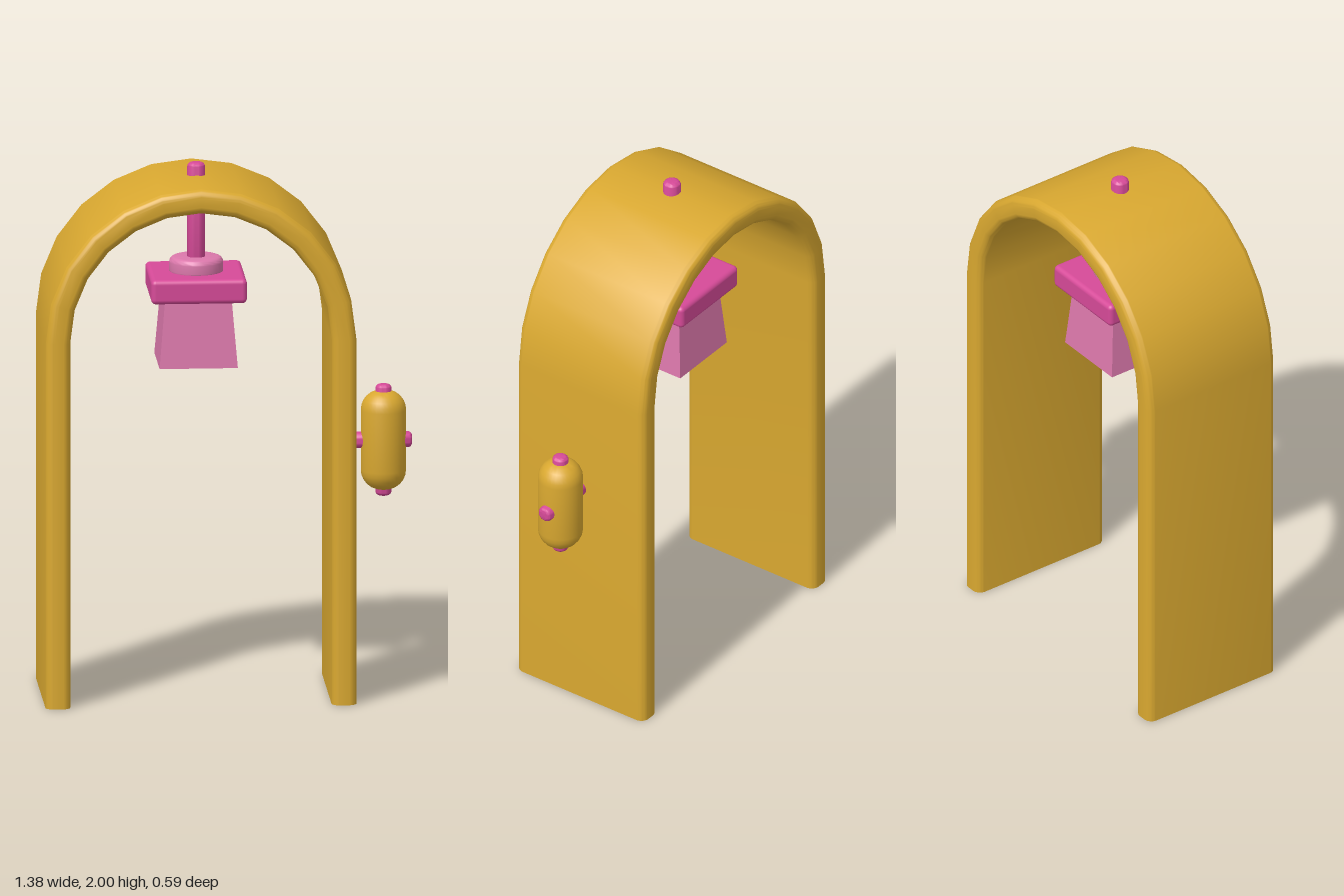
import * as THREE from 'three';
import { toCreasedNormals } from 'three/addons/utils/BufferGeometryUtils.js';
import { RoundedBoxGeometry } from 'three/addons/geometries/RoundedBoxGeometry.js';

const gold = new THREE.MeshStandardMaterial({ color: 0xd9a830 });
const pink = new THREE.MeshStandardMaterial({ color: 0xd64a98 });
const palePink = new THREE.MeshStandardMaterial({ color: 0xdb78ab });

const ARCH_X = -0.115;

function part(name, geometry, material, x, y, z = 0) {
  const mesh = new THREE.Mesh(geometry, material);
  mesh.name = name;
  mesh.position.set(x, y, z);
  return mesh;
}

// Upright cylinder, centred, with rounded rims
function roundedCylinder(radius, height, bevel, sides = 32) {
  const points = [new THREE.Vector2(0, -height / 2)];
  for (const end of [-1, 1]) {
    for (let i = 0; i <= 6; i++) {
      const a = (end < 0 ? i / 6 - 1 : i / 6) * Math.PI / 2;
      points.push(new THREE.Vector2(
        radius - bevel + bevel * Math.cos(a),
        end * (height / 2 - bevel) + bevel * Math.sin(a)));
    }
  }
  points.push(new THREE.Vector2(0, height / 2));
  return toCreasedNormals(new THREE.LatheGeometry(points, sides), 0.7);
}

// Rounded strip bent up one leg, over a half circle and down the other leg
function archGeometry(radius, springY, thickness, depth, bevel) {
  const w = thickness / 2, d = depth / 2;
  const section = new THREE.Shape();
  section.absarc(w - bevel, d - bevel, bevel, 0, Math.PI / 2);
  section.absarc(bevel - w, d - bevel, bevel, Math.PI / 2, Math.PI);
  section.absarc(bevel - w, bevel - d, bevel, Math.PI, Math.PI * 1.5);
  section.absarc(w - bevel, bevel - d, bevel, Math.PI * 1.5, Math.PI * 2);

  const bends = 12, steps = bends + 2;
  const geometry = new THREE.ExtrudeGeometry(section,
    { depth: steps, steps, curveSegments: 5, bevelEnabled: false });
  const pos = geometry.attributes.position;
  for (let i = 0; i < pos.count; i++) {
    const step = Math.round(pos.getZ(i));
    const bend = THREE.MathUtils.clamp(step - 1, 0, bends);
    const a = Math.PI * (1 - bend / bends);
    const r = radius + pos.getX(i);
    const atFoot = step === 0 || step === steps;
    pos.setXYZ(i, r * Math.cos(a), atFoot ? 0 : springY + r * Math.sin(a), pos.getY(i));
  }
  return toCreasedNormals(geometry, 0.6);
}

// Square block, wider at the bottom
function taperedBlock(top, bottom, height) {
  const geometry = new THREE.BoxGeometry(1, height, 1);
  const pos = geometry.attributes.position;
  for (let i = 0; i < pos.count; i++) {
    const s = pos.getY(i) > 0 ? top : bottom;
    pos.setX(i, pos.getX(i) * s);
    pos.setZ(i, pos.getZ(i) * s);
  }
  geometry.computeVertexNormals();
  return geometry;
}

export function createModel() {
  const model = new THREE.Group();
  model.name = 'archWithHangingBlock';

  model.add(part('arch', archGeometry(0.53, 1.38, 0.092, 0.586, 0.032), gold, ARCH_X, 0));

  // Pendant under the crown of the arch
  const pendant = new THREE.Group();
  pendant.name = 'pendant';
  pendant.add(
    part('rod', roundedCylinder(0.033, 0.42, 0.016, 24), pink, 0, 1.79),
    part('collar', roundedCylinder(0.1, 0.07, 0.02), palePink, 0, 1.61),
    part('plate', new RoundedBoxGeometry(0.355, 0.092, 0.355, 4, 0.018), pink, 0, 1.545),
    part('block', taperedBlock(0.246, 0.29, 0.26), palePink, 0, 1.38));
  pendant.position.x = ARCH_X;
  model.add(pendant);

  // Handle pinned to the outside of the left leg
  const handle = new THREE.Group();
  handle.name = 'handle';
  const crossPin = part('crossPin', roundedCylinder(0.03, 0.255, 0.016, 24), pink, -0.022, 0);
  crossPin.rotation.z = Math.PI / 2;
  handle.add(
    part('grip', roundedCylinder(0.084, 0.374, 0.074), gold, 0, 0),
    part('uprightPin', roundedCylinder(0.03, 0.42, 0.016, 24), pink, 0, 0),
    crossPin);
  handle.position.set(0.579, 0.94, 0);
  model.add(handle);

  return model;
}
